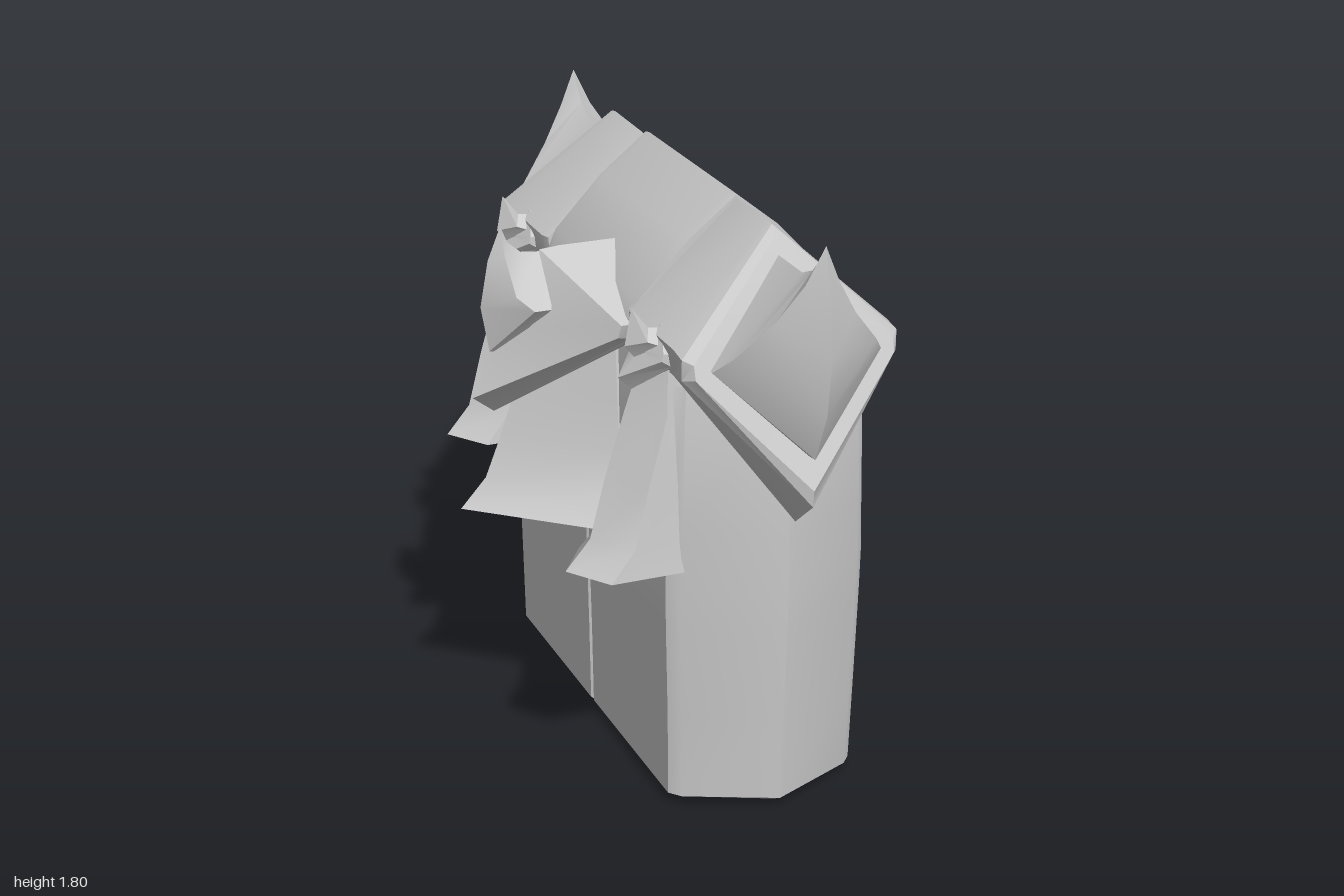
import * as THREE from 'three';
import { toCreasedNormals } from 'three/addons/utils/BufferGeometryUtils.js';

const material = new THREE.MeshStandardMaterial({ color: 0xcccccc });

// Closed solid through rings of equal point count; winding is corrected by its volume.
function loft(name, rings) {
  const tris = [];
  const n = rings[0].length;
  for (let i = 0; i < rings.length - 1; i++) {
    for (let j = 0; j < n; j++) {
      const k = (j + 1) % n;
      const a = rings[i][j], b = rings[i][k], c = rings[i + 1][k], d = rings[i + 1][j];
      tris.push([a, b, c], [a, c, d]);
    }
  }
  const capEnd = (ring, flip) => {
    const mid = ring[0].clone().lerp(ring[n / 2], 0.5);
    ring.forEach((p, j) => {
      const q = ring[(j + 1) % n];
      tris.push(flip ? [mid, q, p] : [mid, p, q]);
    });
  };
  capEnd(rings[0], true);
  capEnd(rings[rings.length - 1], false);
  const volume = tris.reduce((s, [a, b, c]) => s + a.dot(b.clone().cross(c)), 0);
  const pos = [];
  for (const [a, b, c] of tris) {
    for (const p of volume < 0 ? [a, c, b] : [a, b, c]) pos.push(p.x, p.y, p.z);
  }
  const geo = new THREE.BufferGeometry();
  geo.setAttribute('position', new THREE.Float32BufferAttribute(pos, 3));
  const mesh = new THREE.Mesh(toCreasedNormals(geo, 0.5), material);
  mesh.name = name;
  return mesh;
}

// Roof end with a hanging pointed collar. Each ring holds
// peak [u, y], eave top [u, y, w], eave bottom [u, y, w], keel [u, y].
function roofEnd(name, rings, place) {
  return loft(name, rings.map(([peak, top, low, keel]) => [
    place(peak[0], peak[1], 0), place(...top), place(...low),
    place(keel[0], keel[1], 0),
    place(low[0], low[1], -low[2]), place(top[0], top[1], -top[2]),
  ]));
}

// Upturned horn with a diamond section: top [u, y], side [u, y, w], keel [u, y].
function horn(name, rings, tip, place) {
  const loops = rings.map(([top, side, keel]) => [
    place(top[0], top[1], 0), place(...side),
    place(keel[0], keel[1], 0), place(side[0], side[1], -side[2]),
  ]);
  loops.push(Array.from({ length: 4 }, () => place(tip[0], tip[1], 0)));
  return loft(name, loops);
}

// Flared wall buttress: levels of [y, reach, half width].
function buttress(name, levels, nose, place) {
  return loft(name, levels.map(([y, u, w]) => {
    const s = Math.max(u - nose, 0.115);
    return [place(u, y, 0), place(s, y, w), place(0.06, y, w),
      place(0.06, y, 0), place(0.06, y, -w), place(s, y, -w)];
  }));
}

// Pillar with pointed ends and a narrow seam down both broad faces
function pillar() {
  const levels = [ // y, half thickness, end reach, corner reach, seam right, seam left
    [0.01, 0.26, 0.72, 0.60, 0.03, 0.03], [0.04, 0.295, 0.77, 0.64, 0.015, 0.03],
    [0.3, 0.3, 0.78, 0.645, 0, 0.02], [0.6, 0.308, 0.79, 0.645, 0.006, 0.01],
    [0.73, 0.31, 0.79, 0.645, 0.03, 0], [0.9, 0.305, 0.785, 0.645, 0.012, 0],
    [1.34, 0.295, 0.775, 0.64, 0.025, 0], [1.42, 0.27, 0.74, 0.61, 0, 0],
  ];
  return loft('pillar', levels.map(([y, t, e, c, sr, sl]) => [
    [0, e], [t - 0.03, c + 0.015], [t, c - 0.02], [t, 0.012], [t - sr, 0], [t, -0.012],
    [t, -c + 0.02], [t - 0.03, -c - 0.015],
    [0, -e], [-t + 0.03, -c - 0.015], [-t, -c + 0.02], [-t, -0.012], [-t + sl, 0], [-t, 0.012],
    [-t, c - 0.02], [-t + 0.03, c + 0.015],
  ].map(([x, z]) => new THREE.Vector3(0.19 + x, y, z))));
}

export function createModel() {
  const model = new THREE.Group();
  model.add(pillar());

  // Middle roof band
  const band = [[0, 1.78], [0.15, 1.66], [0.3, 1.5], [0.325, 1.44], [0.3, 1.37],
    [0, 1.37], [-0.3, 1.37], [-0.325, 1.44], [-0.3, 1.5], [-0.15, 1.66]];
  model.add(loft('roofBand', [[-0.32, 0.985], [-0.29, 1], [0.32, 1], [0.355, 0.985]].map(([z, s]) =>
    band.map(([x, y]) => new THREE.Vector3(0.2 + x * s, 1.4 + (y - 1.4) * s, z)))));

  // Roof ends and large horns, front and back
  for (const s of [1, -1]) {
    const place = (u, y, w) => new THREE.Vector3(0.2 + w, y, s * u);
    const side = s > 0 ? 'front' : 'back';
    model.add(roofEnd(side + 'RoofEnd', [
      [[0.33, 1.76], [0.33, 1.47, 0.315], [0.33, 1.38, 0.31], [0.33, 1.38]],
      [[0.36, 1.765], [0.36, 1.47, 0.325], [0.36, 1.38, 0.315], [0.36, 1.38]],
      [[0.57, 1.77], [0.68, 1.47, 0.325], [0.645, 1.38, 0.31], [0.8, 0.95]],
      [[0.6, 1.765], [0.74, 1.46, 0.325], [0.74, 1.4, 0.325], [0.91, 1.04]],
      [[0.625, 1.74], [0.765, 1.45, 0.3], [0.78, 1.41, 0.3], [0.915, 1.09]],
    ], place));
    model.add(horn(side + 'Horn', [
      [[0.64, 1.69], [0.75, 1.43, 0.25], [0.87, 1.18]],
      [[0.66, 1.69], [0.785, 1.43, 0.255], [0.915, 1.185]],
      [[0.8, 1.69], [0.835, 1.48, 0.215], [0.98, 1.34]],
      [[0.87, 1.72], [0.89, 1.59, 0.12], [1.0, 1.51]],
      [[0.91, 1.765], [0.925, 1.7, 0.05], [0.98, 1.68]],
    ], [0.94, 1.81], place));
  }

  // Large side gable with its horn and buttress
  const gable = (u, y, w) => new THREE.Vector3(-u, y, 0.02 + w);
  model.add(roofEnd('sideGable', [
    [[0.0, 1.57], [0.08, 1.43, 0.33], [0.08, 1.38, 0.32], [0.08, 1.38]],
    [[0.21, 1.57], [0.12, 1.43, 0.34], [0.115, 1.38, 0.32], [0.42, 1.08]],
    [[0.27, 1.565], [0.15, 1.43, 0.34], [0.155, 1.39, 0.33], [0.485, 1.13]],
  ], gable));
  model.add(horn('sideHorn', [
    [[0.22, 1.56], [0.28, 1.42, 0.12], [0.38, 1.26]],
    [[0.28, 1.56], [0.33, 1.42, 0.12], [0.43, 1.27]],
    [[0.33, 1.565], [0.375, 1.46, 0.09], [0.455, 1.41]],
    [[0.37, 1.6], [0.39, 1.57, 0.035], [0.43, 1.55]],
  ], [0.39, 1.65], gable));
  model.add(buttress('sideButtress', [[0.78, 0.53, 0.28], [0.87, 0.45, 0.26],
    [1.0, 0.4, 0.24], [1.15, 0.35, 0.22], [1.4, 0.26, 0.2]], 0.32, gable));

  // Small gables, studs and buttresses beside it
  for (const s of [1, -1]) {
    const place = (u, y, w) => new THREE.Vector3(-u, y, s * 0.535 + w);
    const side = s > 0 ? 'front' : 'back';
    model.add(roofEnd(side + 'SmallGable', [
      [[-0.02, 1.5], [0.06, 1.44, 0.1], [0.06, 1.4, 0.1], [0.06, 1.36]],
      [[0.06, 1.5], [0.11, 1.44, 0.1], [0.11, 1.4, 0.1], [0.19, 1.31]],
      [[0.1, 1.495], [0.135, 1.44, 0.1], [0.14, 1.42, 0.1], [0.23, 1.35]],
    ], place));
    model.add(horn(side + 'SmallHorn', [
      [[0.09, 1.48], [0.13, 1.45, 0.055], [0.17, 1.39]],
      [[0.14, 1.485], [0.16, 1.46, 0.045], [0.21, 1.44]],
    ], [0.19, 1.55], place));
    model.add(buttress(side + 'SmallButtress', [[0.78, 0.39, 0.13], [0.87, 0.315, 0.12],
      [1.05, 0.27, 0.11], [1.25, 0.21, 0.095], [1.4, 0.16, 0.085]], 0.09, place));
  }
  return model;
}
